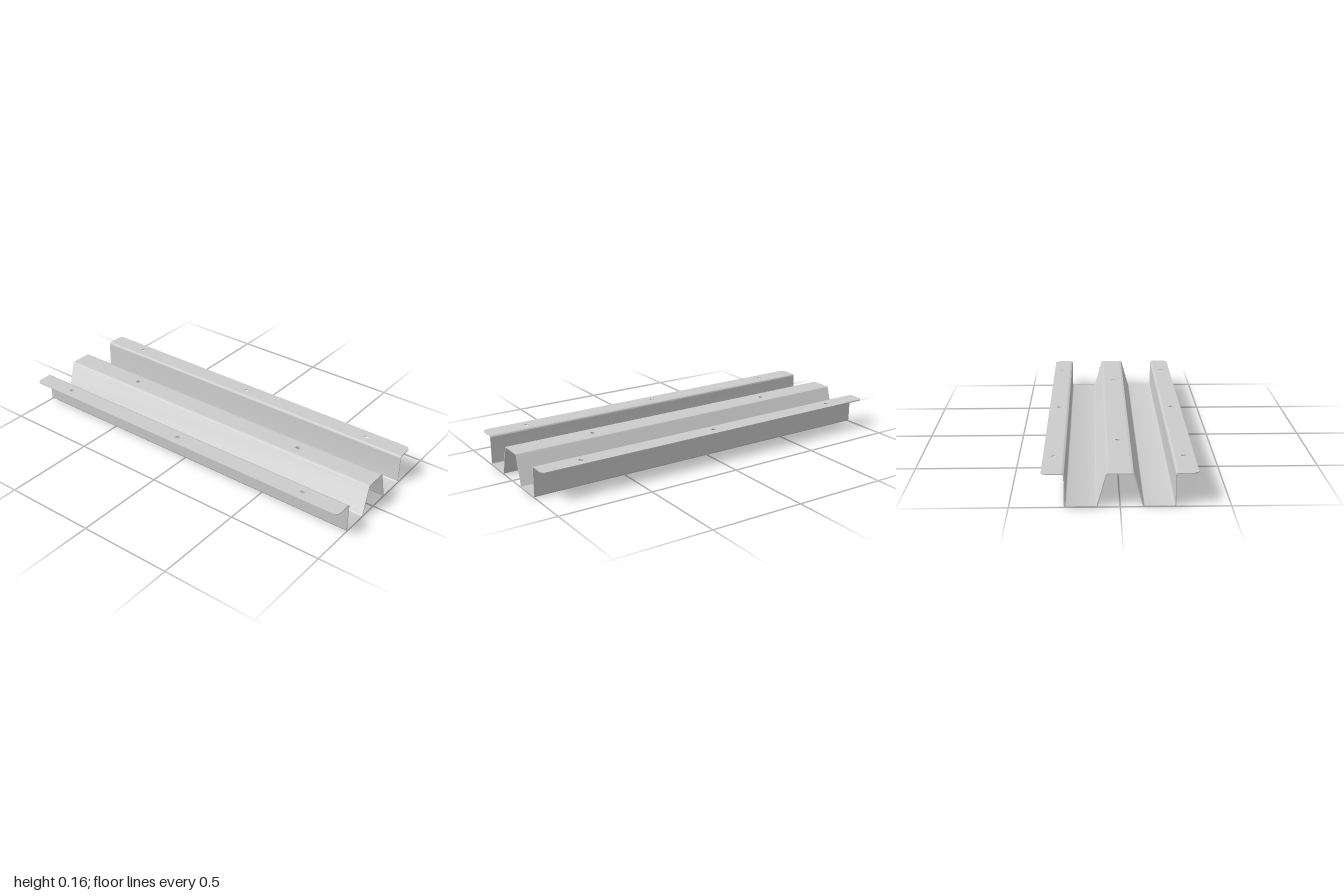
import * as THREE from 'three';
import { toCreasedNormals } from 'three/addons/utils/BufferGeometryUtils.js';

const LENGTH = 2, HEIGHT = 0.16, T = 0.005; // T = sheet thickness
const BEND = 0.009;                         // bend radius at mid-thickness
const FLANGE_IN = 0.262, FLANGE_OUT = 0.353, CROWN = 0.05;
const material = new THREE.MeshStandardMaterial({ color: 0xcccccc });

function makeMesh(name, geometry) {
  const mesh = new THREE.Mesh(toCreasedNormals(geometry, 0.6), material);
  mesh.name = name;
  return mesh;
}

// Thick outline around a polyline whose inner corners are rounded bends
function bentStrip(points) {
  const left = [], right = [];
  const add = (x, y, angle) => {
    const nx = -Math.sin(angle) * T / 2, ny = Math.cos(angle) * T / 2;
    left.push(new THREE.Vector2(x + nx, y + ny));
    right.push(new THREE.Vector2(x - nx, y - ny));
  };
  const heading = (i) => Math.atan2(points[i + 1][1] - points[i][1], points[i + 1][0] - points[i][0]);
  const last = points.length - 1;
  add(...points[0], heading(0));
  for (let i = 1; i < last; i++) {
    const a0 = heading(i - 1);
    let turn = heading(i) - a0;
    turn = Math.atan2(Math.sin(turn), Math.cos(turn));
    const sr = Math.sign(turn) * BEND;
    const d = BEND * Math.tan(Math.abs(turn) / 2);
    const cx = points[i][0] - Math.cos(a0) * d - Math.sin(a0) * sr;
    const cy = points[i][1] - Math.sin(a0) * d + Math.cos(a0) * sr;
    for (let k = 0; k <= 8; k++) {
      const a = a0 + turn * k / 8;
      add(cx + Math.sin(a) * sr, cy - Math.cos(a) * sr, a);
    }
  }
  add(...points[last], heading(last - 1));
  return new THREE.Shape([...left, ...right.reverse()]);
}

// Flat sheet lying at the top level, drilled with round holes
function drilledPlate(shape, holes) {
  for (const [x, z] of holes) {
    shape.holes.push(new THREE.Path().absarc(x, z, 0.012, 0, Math.PI * 2, false));
  }
  const geometry = new THREE.ExtrudeGeometry(shape, { depth: T, bevelEnabled: false, curveSegments: 12 });
  return geometry.rotateX(Math.PI / 2).translate(0, HEIGHT, 0);
}

export function createModel() {
  const model = new THREE.Group();
  model.name = 'foldedSheetRail';
  const half = LENGTH / 2, top = HEIGHT - T / 2, bottom = T / 2, corner = 0.028;

  for (const s of [1, -1]) {
    const side = s > 0 ? 'front' : 'back';

    // Channel: outer wall, floor and sloping inner wall
    const section = [[FLANGE_IN, top], [0.25, top], [0.25, bottom], [0.104, bottom], [0.061, top], [CROWN, top]];
    const strip = bentStrip(section.map(([z, y]) => [-s * z, y]));
    const channel = new THREE.ExtrudeGeometry(strip, { depth: LENGTH, bevelEnabled: false });
    channel.translate(0, 0, -half).rotateY(Math.PI / 2);
    model.add(makeMesh(side + 'Channel', channel));

    // Mounting flange with rounded outer corners
    const zIn = s * FLANGE_IN, zOut = s * FLANGE_OUT, zc = s * (FLANGE_OUT - corner);
    const flange = new THREE.Shape();
    flange.moveTo(-half, zIn);
    flange.lineTo(half, zIn);
    flange.lineTo(half, zc);
    flange.absarc(half - corner, zc, corner, 0, s * Math.PI / 2, s < 0);
    flange.lineTo(-half + corner, zOut);
    flange.absarc(-half + corner, zc, corner, s * Math.PI / 2, s * Math.PI, s < 0);
    flange.closePath();
    const holes = [-0.773, 0, 0.773].map((x) => [x, s * 0.302]);
    model.add(makeMesh(side + 'Flange', drilledPlate(flange, holes)));
  }

  // Flat top of the central ridge
  const crown = new THREE.Shape([
    new THREE.Vector2(-half, -CROWN), new THREE.Vector2(half, -CROWN),
    new THREE.Vector2(half, CROWN), new THREE.Vector2(-half, CROWN),
  ]);
  model.add(makeMesh('ridgeTop', drilledPlate(crown, [[-0.545, 0], [0.545, 0]])));

  return model;
}
